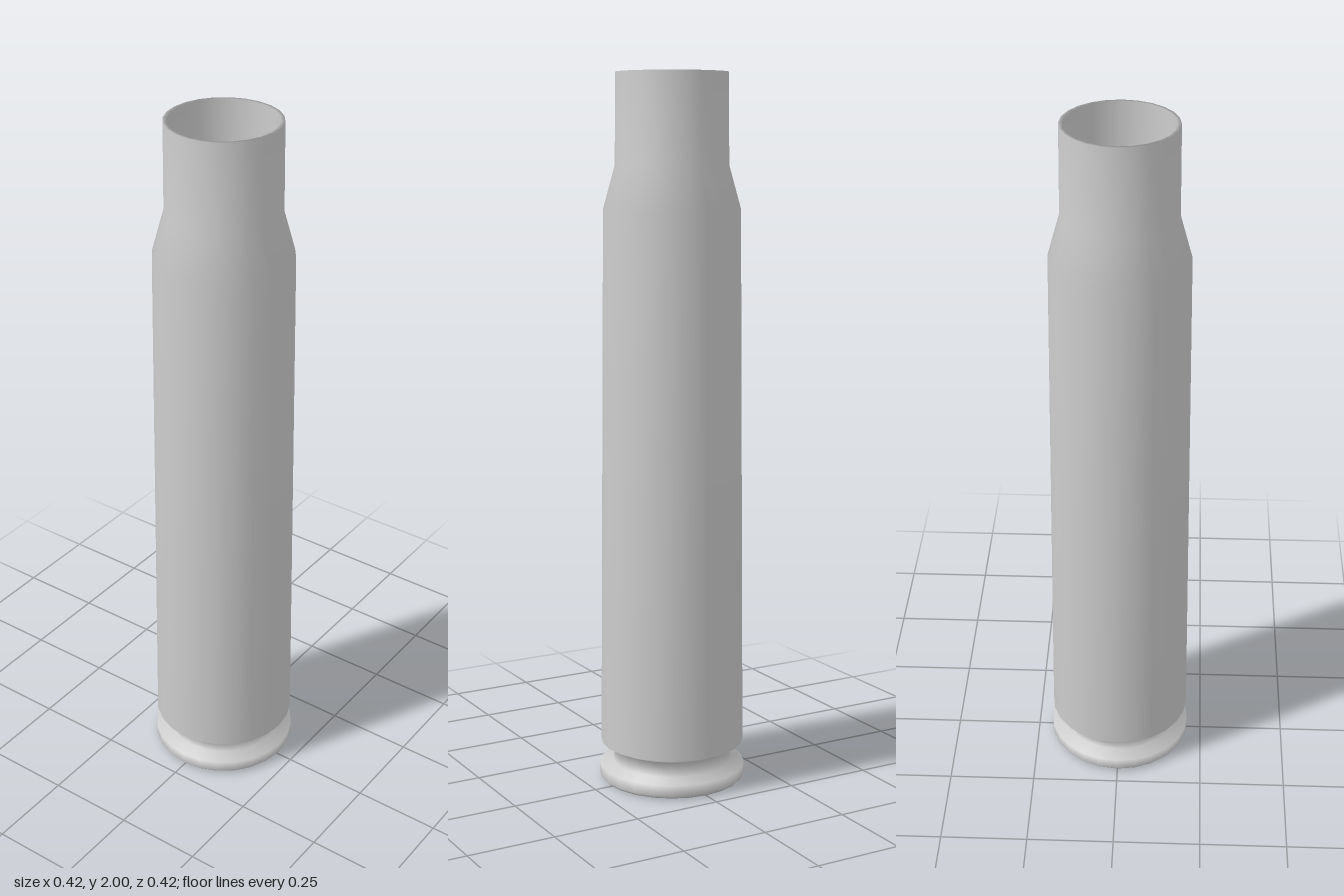
import * as THREE from 'three';

export function createModel() {
  const group = new THREE.Group();
  group.name = 'cartridgeCase';
  const metal = new THREE.MeshStandardMaterial({ color: 0xcccccc });
  metal.name = 'pale grey metal';

  // Smooth 24-sided surface of revolution from [radius, height] pairs
  const turn = (name, profile) => {
    const points = profile.map(([r, y]) => new THREE.Vector2(r, y));
    const mesh = new THREE.Mesh(new THREE.LatheGeometry(points, 24), metal);
    mesh.name = name;
    group.add(mesh);
  };

  // Base disc, rim, extractor groove, tapered body, shoulder, neck, lip and hollow inside
  turn('caseShell', [
    [0, 0.005], [0.1, 0.003], [0.2, 0.003], [0.208, 0.012], [0.208, 0.043],
    [0.168, 0.053], [0.168, 0.095],
    [0.204, 0.112], [0.19, 1.63],
    [0.157, 1.75], [0.155, 2],
    [0.145, 2], [0.145, 0.2], [0, 0.18],
  ]);

  // Thin primer face at the centre of the base
  turn('primer', [[0, 0], [0.095, 0], [0.1, 0.004]]);

  return group;
}
